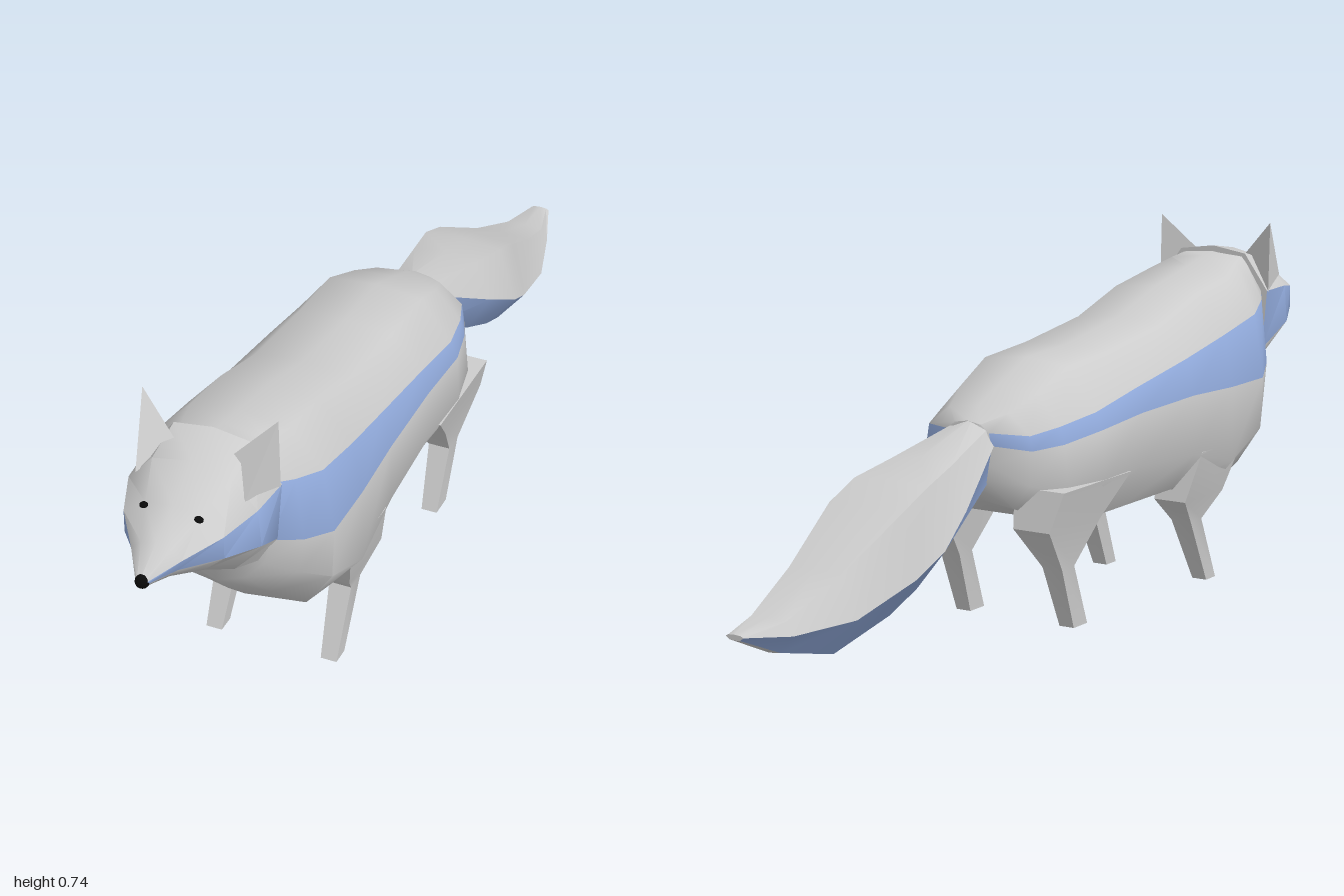
import * as THREE from 'three';
import { toCreasedNormals } from 'three/addons/utils/BufferGeometryUtils.js';
import { ConvexGeometry } from 'three/addons/geometries/ConvexGeometry.js';

const color = (name, hex) => {
  const m = new THREE.MeshStandardMaterial({ color: hex });
  m.name = name;
  return m;
};

// Skin a list of equal-length 3D rings; edges listed in `band` use the second material
function loft(rings, crease, band = []) {
  const n = rings[0].length;
  const plain = [], striped = [];
  for (let i = 0; i < rings.length - 1; i++) {
    for (let j = 0; j < n; j++) {
      const a = i * n + j, b = i * n + (j + 1) % n;
      (band.includes(j) ? striped : plain).push(a, b, a + n, b, b + n, a + n);
    }
  }
  const last = (rings.length - 1) * n;
  for (let j = 1; j < n - 1; j++) plain.push(0, j + 1, j, last, last + j, last + j + 1);
  const g = new THREE.BufferGeometry();
  g.setAttribute('position', new THREE.Float32BufferAttribute(rings.flat(2), 3));
  g.setIndex([...plain, ...striped]);
  g.addGroup(0, plain.length, 0);
  if (striped.length) g.addGroup(plain.length, striped.length, 1);
  return toCreasedNormals(g, crease);
}

// Half profile from top centre to bottom centre, mirrored to a full ring
const ring = (z, half) => [
  ...half.map(([x, y]) => [x, y, z]),
  ...half.slice(1, -1).reverse().map(([x, y]) => [-x, y, z]),
];

// Half profile segment k and its mirror image, for half profiles of n points
const bandOf = (n, k) => [k, 2 * (n - 1) - 1 - k];

const BODY = [
  [0.70, [[0, .665], [.07, .66], [.115, .59], [.115, .46], [.10, .40], [.06, .355], [0, .33]]],
  [0.65, [[0, .66], [.08, .65], [.145, .575], [.16, .44], [.15, .36], [.09, .295], [0, .275]]],
  [0.58, [[0, .645], [.10, .63], [.168, .555], [.19, .42], [.185, .31], [.13, .23], [0, .21]]],
  [0.45, [[0, .62], [.10, .61], [.17, .53], [.19, .42], [.19, .26], [.13, .185], [0, .19]]],
  [0.30, [[0, .575], [.10, .565], [.165, .50], [.185, .425], [.186, .30], [.13, .22], [0, .215]]],
  [0.10, [[0, .545], [.10, .54], [.165, .47], [.18, .42], [.18, .31], [.13, .22], [0, .22]]],
  [-0.05, [[0, .54], [.10, .53], [.165, .445], [.18, .41], [.185, .30], [.13, .22], [0, .22]]],
  [-0.15, [[0, .50], [.09, .49], [.145, .43], [.155, .395], [.165, .30], [.12, .24], [0, .24]]],
  [-0.22, [[0, .47], [.07, .46], [.12, .42], [.125, .39], [.12, .32], [.08, .27], [0, .28]]],
  [-0.26, [[0, .445], [.03, .44], [.05, .425], [.055, .40], [.05, .36], [.04, .33], [0, .32]]],
];

const HEAD = [
  [0.99, [[0, .548], [.008, .546], [.012, .541], [.012, .536], [.008, .530], [0, .527]]],
  [0.93, [[0, .582], [.03, .575], [.05, .556], [.042, .534], [.025, .515], [0, .508]]],
  [0.86, [[0, .618], [.055, .608], [.10, .575], [.10, .528], [.06, .49], [0, .478]]],
  [0.78, [[0, .662], [.08, .645], [.13, .588], [.136, .51], [.08, .44], [0, .42]]],
  [0.69, [[0, .677], [.08, .665], [.136, .588], [.125, .46], [.09, .40], [0, .38]]],
];

const TAIL = [
  [-0.24, [[0, .45], [.04, .435], [.055, .41], [.04, .33], [0, .30]]],
  [-0.42, [[0, .40], [.07, .39], [.105, .305], [.055, .22], [0, .21]]],
  [-0.52, [[0, .375], [.085, .368], [.125, .25], [.06, .17], [0, .16]]],
  [-0.60, [[0, .34], [.085, .335], [.115, .21], [.055, .135], [0, .13]]],
  [-0.76, [[0, .25], [.06, .245], [.095, .165], [.04, .093], [0, .09]]],
  [-0.90, [[0, .188], [.04, .186], [.055, .16], [.025, .125], [0, .122]]],
  [-1.00, [[0, .178], [.014, .177], [.02, .174], [.012, .168], [0, .167]]],
];

// Leg sections: height, inner x, outer x, rear z, front z
const FRONT_LEG = [
  [0, .108, .142, .43, .468],
  [.14, .098, .145, .358, .402],
  [.195, .09, .165, .30, .455],
  [.30, .09, .188, .33, .50],
];
const HIND_LEG = [
  [.01, .108, .142, -.095, -.045],
  [.14, .10, .146, -.145, -.10],
  [.23, .08, .165, -.22, -.03],
  [.31, .07, .186, -.20, .05],
];

function leg(sections, side) {
  return loft(sections.map(([y, inner, outer, z0, z1]) => {
    const [x0, x1] = side > 0 ? [inner, outer] : [-outer, -inner];
    return [[x1, y, z1], [x1, y, z0], [x0, y, z0], [x0, y, z1]];
  }), 0.5);
}

export function createModel() {
  const fur = color('fur grey', 0xcccccc);
  const stripe = color('stripe blue', 0x91aadb);
  const black = color('black', 0x0a0a0a);
  const model = new THREE.Group();
  model.name = 'fox';
  const add = (name, geometry, material) => {
    const mesh = new THREE.Mesh(geometry, material);
    mesh.name = name;
    model.add(mesh);
    return mesh;
  };
  const build = (data, crease, k) =>
    loft(data.map(([z, half]) => ring(z, half)), crease, bandOf(data[0][1].length, k));

  add('body', build(BODY, 0.9, 2), [fur, stripe]);
  add('head', build(HEAD, 0.7, 2), [fur, stripe]);
  add('tail', build(TAIL, 0.55, 2), [fur, stripe]);

  const nose = add('nose', new THREE.SphereGeometry(0.014, 12, 8), black);
  nose.position.set(0, 0.537, 0.986);

  for (const side of [1, -1]) {
    const label = side > 0 ? 'left' : 'right';
    add(label + 'FrontLeg', leg(FRONT_LEG, side), fur);
    add(label + 'HindLeg', leg(HIND_LEG, side), fur);

    // Pointed ear: tip, inner base, front base, outer base
    const corners = [[.136, .735, .70], [.055, .655, .73], [.11, .61, .79], [.136, .585, .695]];
    add(label + 'Ear', new ConvexGeometry(
      corners.map(([x, y, z]) => new THREE.Vector3(x * side, y, z))), fur);

    const eye = add(label + 'Eye', new THREE.SphereGeometry(1, 12, 8), black);
    eye.scale.set(0.009, 0.004, 0.007);
    eye.position.set(0.055 * side, 0.606, 0.866);
    eye.rotation.set(0.45, 0, -0.2 * side);
  }
  return model;
}
